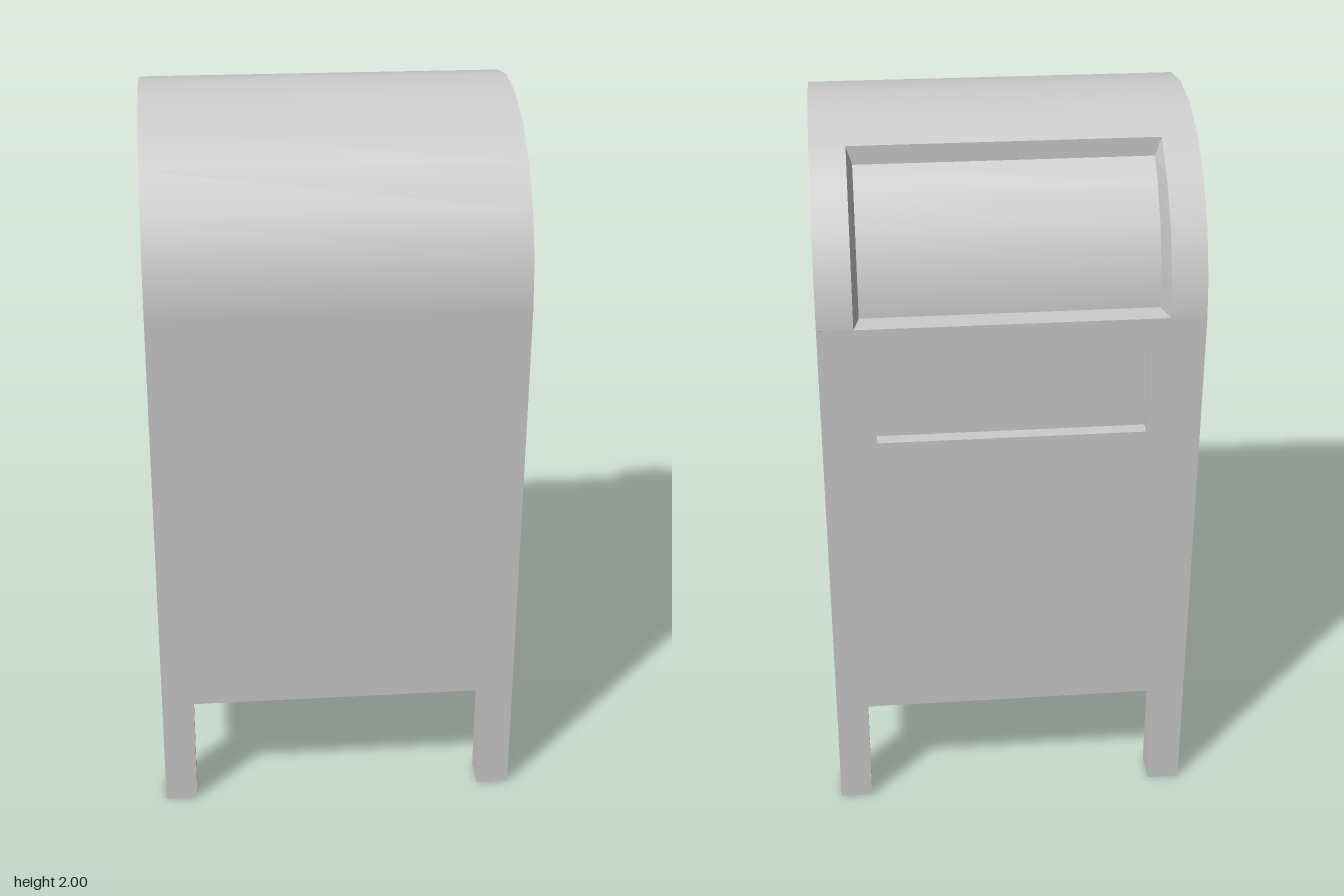
import * as THREE from 'three';

const HALF = 0.505, SPRING = 1.495, FLOOR = 0.325;   // body half-width, start of the arch, underside
const DOOR_X = 0.41, DOOR_IN = 0.395, DOOR_DEPTH = 0.07;
const SLOT = { x: 0.36, y0: 1.19, y1: 1.455, depth: 0.04 };
const LEG = 0.09;
const rad = THREE.MathUtils.degToRad;

const material = new THREE.MeshStandardMaterial({ color: 0xcccccc, side: THREE.DoubleSide });

// [z, y] point of the arch; 0 degrees is the crown, positive towards the back
const archPoint = (deg, shift = 0) => [-HALF * Math.sin(rad(deg)) + shift, SPRING + HALF * Math.cos(rad(deg))];
const span = (a, b, n) => Array.from({ length: n + 1 }, (_, i) => a + (b - a) * i / n);
const at = (x, profile) => profile.map(([z, y]) => new THREE.Vector3(x, y, z));

// Surface between two rows of points; smooth ones take the arch's radial normal
function loft(name, a, b, archShift = null) {
  const pos = [];
  for (let i = 0; i < a.length - 1; i++) {
    for (const p of [a[i], b[i], a[i + 1], b[i], b[i + 1], a[i + 1]]) pos.push(p.x, p.y, p.z);
  }
  const geo = new THREE.BufferGeometry();
  geo.setAttribute('position', new THREE.Float32BufferAttribute(pos, 3));
  geo.computeVertexNormals();
  if (archShift !== null) {
    const p = geo.attributes.position, v = new THREE.Vector3();
    for (let i = 0; i < p.count; i++) {
      v.set(0, p.getY(i) - SPRING, p.getZ(i) - archShift).normalize();
      geo.attributes.normal.setXYZ(i, v.x, v.y, v.z);
    }
  }
  return named(name, geo);
}

function named(name, geo) {
  const mesh = new THREE.Mesh(geo, material);
  mesh.name = name;
  return mesh;
}

const strip = (name, x0, x1, profile, archShift = null) =>
  loft(name, at(x0, profile), at(x1, profile), archShift);

// Pair of inward-facing side walls of a recess
function cheeks(name, xOuter, outer, xInner, inner) {
  return [
    loft(name + 'Left', at(xInner, inner), at(xOuter, outer)),
    loft(name + 'Right', at(-xOuter, outer), at(-xInner, inner)),
  ];
}

export function createModel() {
  const model = new THREE.Group();
  model.name = 'mailbox';

  const roofArc = [...span(-90, 30, 8), 31].map(d => archPoint(d));
  const backAngles = [31, 45, 60, 75, 87];
  const backArc = backAngles.map(d => archPoint(d));
  const sillY = archPoint(87)[1];

  // Front wall and rounded roof
  model.add(strip('frontWall', -HALF, HALF, [[HALF, FLOOR], [HALF, SPRING]]));
  model.add(strip('roof', -HALF, HALF, roofArc, 0));
  model.add(strip('roofBackRight', -HALF, -DOOR_X, backArc, 0));
  model.add(strip('roofBackLeft', DOOR_X, HALF, backArc, 0));

  // Arched side walls
  const outline = [[HALF, FLOOR], ...roofArc, ...backArc.slice(1), [-HALF, SPRING], [-HALF, FLOOR]];
  const sideShape = new THREE.Shape(outline.map(([z, y]) => new THREE.Vector2(-z, y)));
  for (const s of [1, -1]) {
    const geo = new THREE.ShapeGeometry(s > 0 ? sideShape
      : new THREE.Shape(outline.map(([z, y]) => new THREE.Vector2(z, y))));
    const side = named(s > 0 ? 'sideWallLeft' : 'sideWallRight', geo);
    side.rotation.y = s * Math.PI / 2;
    side.position.x = s * HALF;
    model.add(side);
  }

  // Back wall with the opening for the label recess
  const rect = (P, x, y0, y1) => new P([[-x, y0], [x, y0], [x, y1], [-x, y1]].map(p => new THREE.Vector2(...p)));
  const backShape = rect(THREE.Shape, HALF, FLOOR, sillY);
  backShape.holes.push(rect(THREE.Path, SLOT.x, SLOT.y0, SLOT.y1));
  const back = named('backWall', new THREE.ShapeGeometry(backShape));
  back.rotation.y = Math.PI;
  back.position.z = -HALF;
  model.add(back);

  // Label recess
  const zIn = -HALF + SLOT.depth;
  model.add(strip('labelRecess', -SLOT.x, SLOT.x,
    [[-HALF, SLOT.y1], [zIn, SLOT.y1], [zIn, SLOT.y0], [-HALF, SLOT.y0]]));
  model.add(...cheeks('labelRecessSide', SLOT.x, [[-HALF, SLOT.y1], [-HALF, SLOT.y0]],
    SLOT.x, [[zIn, SLOT.y1], [zIn, SLOT.y0]]));

  // Curved door set back into the roof, with its header, sill and cheeks
  const doorTop = THREE.MathUtils.radToDeg(Math.asin((DOOR_DEPTH - backArc[0][0]) / HALF));
  const doorArc = [doorTop, 50, 62, 75, 87].map(d => archPoint(d, DOOR_DEPTH));
  const last = doorArc.length - 1;
  const row = (name, p, xp, q, xq) => loft(name,
    [...at(-xp, [p]), ...at(-xq, [q])], [...at(xp, [p]), ...at(xq, [q])]);
  model.add(strip('door', -DOOR_IN, DOOR_IN, doorArc, DOOR_DEPTH));
  model.add(row('doorHeader', backArc[0], DOOR_X, doorArc[0], DOOR_IN));
  model.add(row('doorSill', doorArc[last], DOOR_IN, backArc[last], DOOR_X));
  model.add(...cheeks('doorCheek', DOOR_X, backArc, DOOR_IN, doorArc));

  // Underside and four legs
  const base = named('underside', new THREE.PlaneGeometry(2 * HALF, 2 * HALF));
  base.rotation.x = Math.PI / 2;
  base.position.y = FLOOR;
  model.add(base);
  for (const sx of [1, -1]) for (const sz of [1, -1]) {
    const leg = named((sz > 0 ? 'front' : 'back') + 'Leg' + (sx > 0 ? 'Left' : 'Right'),
      new THREE.BoxGeometry(LEG, FLOOR, LEG));
    leg.position.set(sx * (HALF - LEG / 2), FLOOR / 2, sz * (HALF - LEG / 2));
    model.add(leg);
  }
  return model;
}
